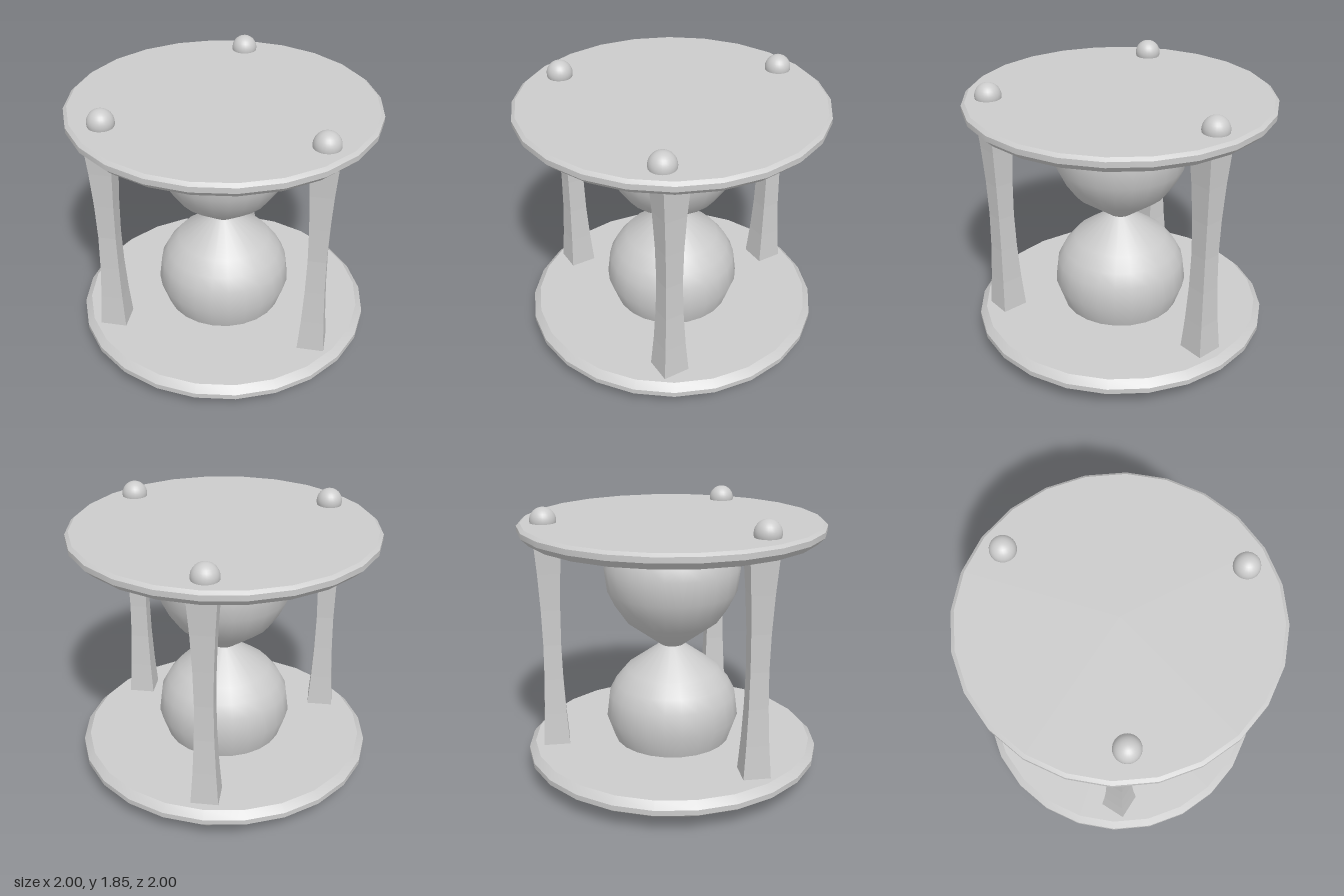
import * as THREE from 'three';
import { toCreasedNormals } from 'three/addons/utils/BufferGeometryUtils.js';

export function createModel() {
  const group = new THREE.Group();
  const smooth = new THREE.MeshStandardMaterial({ color: 0xcccccc });
  const flat = new THREE.MeshStandardMaterial({ color: 0xcccccc, flatShading: true });

  const add = (name, geometry, material, x = 0, y = 0, z = 0) => {
    const mesh = new THREE.Mesh(geometry, material);
    mesh.name = name;
    mesh.position.set(x, y, z);
    group.add(mesh);
  };

  // Turned shape from [radius, y] pairs, listed from bottom to top
  const turned = (profile) => toCreasedNormals(
    new THREE.LatheGeometry(profile.map(([r, y]) => new THREE.Vector2(r, y)), 24), 0.6);

  // Round end plates; the lower one mirrors the upper
  const plate = [[0, 1.646], [0.955, 1.646], [1, 1.69], [1, 1.725], [0.977, 1.743], [0, 1.743]];
  add('topPlate', turned(plate), smooth);
  add('bottomPlate', turned(plate.map(([r, y]) => [r, 1.866 - y]).reverse()), smooth);

  // Glass bulbs meeting at a narrow neck
  add('lowerBulb', turned([[0, 0.217], [0.4, 0.217], [0.455, 0.38], [0.435, 0.54], [0.39, 0.626],
    [0.315, 0.717], [0.08, 0.888], [0, 0.888]]), smooth);
  add('upperBulb', turned([[0, 0.888], [0.08, 0.888], [0.315, 1.064], [0.385, 1.166], [0.435, 1.27],
    [0.455, 1.43], [0.43, 1.525], [0.405, 1.568], [0.235, 1.62], [0, 1.62]]), smooth);

  // Square posts with a slightly waisted outline
  const bottom = 0.2, top = 1.66;
  const post = new THREE.BoxGeometry(0.18, top - bottom, 0.18, 1, 6, 1);
  const pos = post.attributes.position;
  for (let i = 0; i < pos.count; i++) {
    const t = Math.abs(pos.getY(i)) / ((top - bottom) / 2);
    const s = 0.65 + 0.35 * Math.pow(t, 1.8);
    pos.setX(i, pos.getX(i) * s);
    pos.setZ(i, pos.getZ(i) * s);
  }
  post.computeVertexNormals();

  // Each post has a ball above the top plate and one below the bottom plate
  const ball = new THREE.SphereGeometry(0.085, 24, 16);
  const supports = [
    { side: 'left', post: [0.68, 0.425], ball: [0.685, 0.47], lift: 0 },
    { side: 'right', post: [-0.676, 0.425], ball: [-0.652, 0.465], lift: 0.01 },
    { side: 'back', post: [0.005, -0.81], ball: [-0.007, -0.83], lift: 0 },
  ];
  for (const s of supports) {
    add(s.side + 'Post', post, flat, s.post[0], (bottom + top) / 2, s.post[1]);
    add(s.side + 'TopBall', ball, smooth, s.ball[0], 1.757 + s.lift, s.ball[1]);
    add(s.side + 'BottomBall', ball, smooth, s.ball[0], 0.097 - s.lift, s.ball[1]);
  }
  return group;
}
